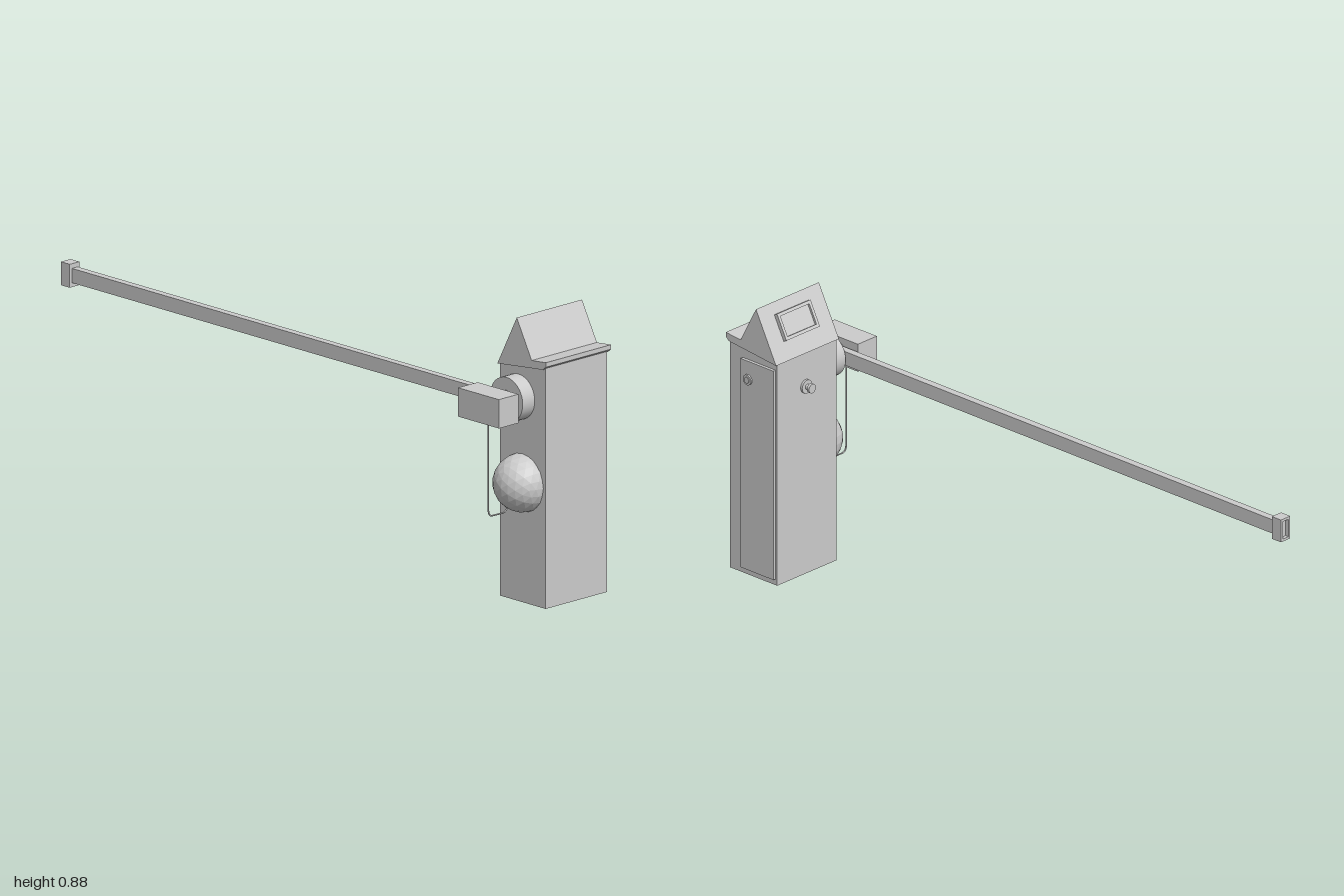
import * as THREE from 'three';

export function createModel() {
  const model = new THREE.Group();
  const mat = new THREE.MeshStandardMaterial({ color: 0xcccccc });
  const flat = new THREE.MeshStandardMaterial({ color: 0xcccccc, flatShading: true });

  const add = (name, geo, x = 0, y = 0, z = 0, parent = model, m = mat) => {
    const mesh = new THREE.Mesh(geo, m);
    mesh.name = name;
    mesh.position.set(x, y, z);
    parent.add(mesh);
    return mesh;
  };
  // box from its minimum and maximum corners
  const box = (name, a, b, parent) => add(name,
    new THREE.BoxGeometry(b[0] - a[0], b[1] - a[1], b[2] - a[2]),
    (a[0] + b[0]) / 2, (a[1] + b[1]) / 2, (a[2] + b[2]) / 2, parent);
  // front outline extruded from z0 to z1
  const prism = (name, pts, z0, z1) => add(name, new THREE.ExtrudeGeometry(
    new THREE.Shape(pts.map((p) => new THREE.Vector2(...p))),
    { depth: z1 - z0, bevelEnabled: false }), 0, 0, z0);
  // rectangular frame in XY with a rectangular opening, extruded along z
  const frame = (w, h, rim, depth) => {
    const rect = (T, a, b) => new T([[-a, -b], [a, -b], [a, b], [-a, b]].map((p) => new THREE.Vector2(...p)));
    const shape = rect(THREE.Shape, w / 2, h / 2);
    shape.holes.push(rect(THREE.Path, w / 2 - rim, h / 2 - rim));
    return new THREE.ExtrudeGeometry(shape, { depth, bevelEnabled: false });
  };

  // cabinet with sloping top
  prism('cabinet', [[0.794, 0], [0.99, 0], [0.99, 0.75], [0.794, 0.727]], -0.203, 0.053);

  // pointed lid with a flat lip on one side
  prism('lid', [[0.79, 0.725], [0.985, 0.746], [0.998, 0.757], [0.998, 0.771],
    [0.937, 0.765], [0.873, 0.885]], -0.212, 0.06);

  // display panel on the lid slope: local x runs up the slope, local y points outward
  const display = new THREE.Group();
  display.name = 'displayPanel';
  display.position.set(0.836, 0.815, -0.078);
  display.rotation.z = Math.atan2(0.16, 0.083);
  model.add(display);
  add('displayFrame', frame(0.085, 0.145, 0.01, 0.014), 0, 0.012, 0, display).rotation.x = Math.PI / 2;
  add('displayScreen', new THREE.BoxGeometry(0.07, 0.006, 0.13), 0, 0.002, 0, display);

  // rear door and lock
  box('door', [0.8, 0.02, -0.213], [0.936, 0.705, -0.2]);
  add('lockRing', new THREE.CylinderGeometry(0.017, 0.017, 0.006, 16), 0.905, 0.645, -0.215).rotation.x = Math.PI / 2;
  add('lockCore', new THREE.CylinderGeometry(0.01, 0.01, 0.01, 12), 0.905, 0.645, -0.216).rotation.x = Math.PI / 2;

  // knob on the side wall
  add('knobCollar', new THREE.CylinderGeometry(0.022, 0.022, 0.008, 16), 0.791, 0.615, -0.08).rotation.z = Math.PI / 2;
  add('knobStem', new THREE.CylinderGeometry(0.009, 0.009, 0.02, 12), 0.782, 0.615, -0.08).rotation.z = Math.PI / 2;
  add('knobHead', new THREE.CylinderGeometry(0.015, 0.015, 0.009, 16), 0.77, 0.615, -0.08).rotation.z = Math.PI / 2;

  // pivot drum and arm
  add('pivotDrum', new THREE.CylinderGeometry(0.07, 0.07, 0.052, 32), 0.873, 0.638, 0.077).rotation.x = Math.PI / 2;
  add('pivotShaft', new THREE.CylinderGeometry(0.03, 0.03, 0.045, 16), 0.873, 0.638, 0.12).rotation.x = Math.PI / 2;
  box('arm', [-0.97, 0.617, 0.107], [0.92, 0.662, 0.131]);

  // hollow tip cap
  add('tipCap', frame(0.04, 0.073, 0.008, 0.012), -1, 0.64, 0.12).rotation.y = Math.PI / 2;
  box('tipBlock', [-0.988, 0.6035, 0.1], [-0.962, 0.6765, 0.14]);

  // counterweight and its cable gland
  box('counterweight', [0.788, 0.592, 0.14], [0.963, 0.682, 0.222]);
  add('cableGland', new THREE.ConeGeometry(0.01, 0.024, 12), 0.876, 0.58, 0.181).rotation.x = Math.PI;

  // cable hanging down and turning in to the ball
  const path = new THREE.CurvePath();
  const v = (y, z) => new THREE.Vector3(0.876, y, z);
  path.add(new THREE.LineCurve3(v(0.585, 0.181), v(0.31, 0.181)));
  path.add(new THREE.QuadraticBezierCurve3(v(0.31, 0.181), v(0.291, 0.181), v(0.29, 0.165)));
  path.add(new THREE.LineCurve3(v(0.29, 0.165), v(0.289, 0.118)));
  path.add(new THREE.QuadraticBezierCurve3(v(0.289, 0.118), v(0.29, 0.108), v(0.315, 0.095)));
  add('cable', new THREE.TubeGeometry(path, 60, 0.0025, 6));

  // faceted ball half sunk in the front wall
  add('ball', new THREE.IcosahedronGeometry(0.09, 3), 0.89, 0.373, 0.053, model, flat);

  return model;
}
